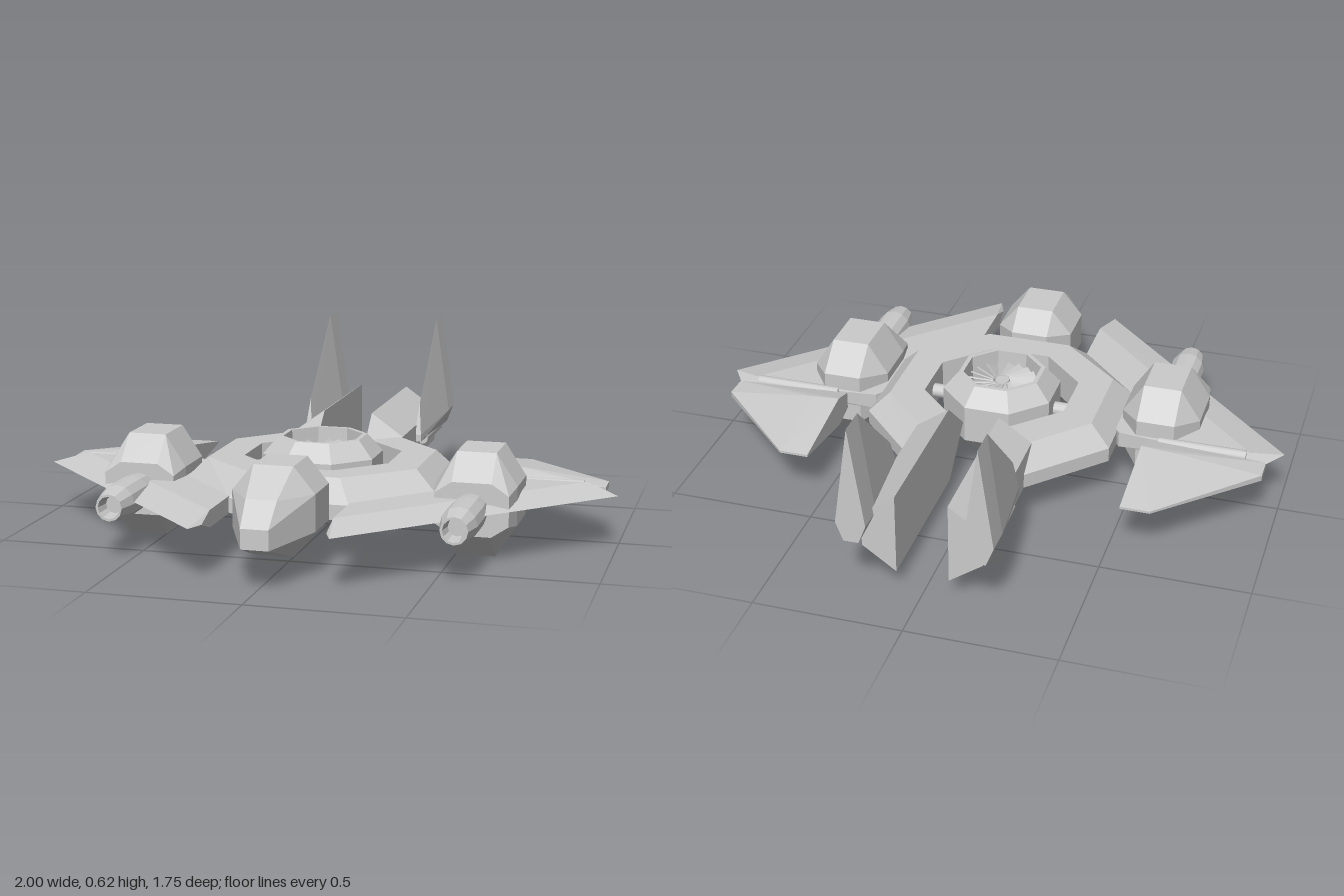
import * as THREE from 'three';
import { ConvexGeometry } from 'three/addons/geometries/ConvexGeometry.js';

const grey = new THREE.MeshStandardMaterial({ color: 0xcccccc, flatShading: true, side: THREE.DoubleSide });
const smooth = new THREE.MeshStandardMaterial({ color: 0xcccccc, side: THREE.DoubleSide });

function add(parent, name, geometry, material = grey) {
  const mesh = new THREE.Mesh(geometry, material);
  mesh.name = name;
  parent.add(mesh);
  return mesh;
}

// Faceted solid around corner points, mirrored in x when s = -1
function hull(points, s = 1) {
  return new ConvexGeometry(points.map(([x, y, z]) => new THREE.Vector3(x * s, y, z)));
}

// Both left and right of a point
const pair = (x, y, z) => [[x, y, z], [-x, y, z]];

// C-shaped octagonal deck, open at the back between the booms
function deckGeometry() {
  // each station: outer, top edge and inner corner as [x, z]
  const half = [
    [[0.09, -0.34], [0.09, -0.27], [0.09, -0.17]],
    [[0.2, -0.34], [0.17, -0.27], [0.1, -0.17]],
    [[0.43, -0.1], [0.36, -0.07], [0.25, -0.02]],
    [[0.43, 0.27], [0.36, 0.24], [0.25, 0.18]],
    [[0.2, 0.51], [0.15, 0.43], [0.1, 0.33]],
  ];
  const other = half.map(st => st.map(([x, z]) => [-x, z])).reverse();
  const loops = [...half, ...other].map(([o, t, i]) => [
    [o[0], 0.15, o[1]], [o[0], 0.2, o[1]], [t[0], 0.27, t[1]], [i[0], 0.27, i[1]], [i[0], 0.15, i[1]],
  ]);
  const pos = [];
  const n = 5;
  for (let k = 0; k < loops.length - 1; k++) {
    for (let j = 0; j < n; j++) {
      const a = loops[k][j], b = loops[k][(j + 1) % n];
      const c = loops[k + 1][(j + 1) % n], d = loops[k + 1][j];
      pos.push(...a, ...b, ...c, ...a, ...c, ...d);
    }
  }
  // end caps
  const first = loops[0], last = loops[loops.length - 1];
  for (let j = 1; j < n - 1; j++) {
    pos.push(...first[0], ...first[j + 1], ...first[j]);
    pos.push(...last[0], ...last[j], ...last[j + 1]);
  }
  const g = new THREE.BufferGeometry();
  g.setAttribute('position', new THREE.Float32BufferAttribute(pos, 3));
  g.computeVertexNormals();
  return g;
}

function lathe(profile, sides) {
  return new THREE.LatheGeometry(profile.map(([r, y]) => new THREE.Vector2(r, y)), sides);
}

// Fan pod in the middle of the deck
function buildFan(group) {
  const fan = new THREE.Group();
  fan.name = 'liftFan';
  fan.position.set(0, 0.21, 0.085);
  group.add(fan);
  const k = 1 / Math.cos(Math.PI / 8);
  const casing = lathe([
    [0.125 * k, -0.125], [0.14 * k, -0.125], [0.19 * k, -0.065], [0.19 * k, 0.065],
    [0.14 * k, 0.125], [0.125 * k, 0.125], [0.12 * k, 0], [0.125 * k, -0.125],
  ], 8);
  casing.rotateY(Math.PI / 8);
  add(fan, 'fanCasing', casing);
  add(fan, 'fanDisc', new THREE.CylinderGeometry(0.125, 0.125, 0.02, 24));
  for (const s of [1, -1]) {
    const hub = add(fan, 'fanHub', new THREE.CylinderGeometry(0.025, 0.045, 0.08, 12));
    hub.position.y = 0.045 * s;
    if (s < 0) hub.rotation.x = Math.PI;
    for (let i = 0; i < 20; i++) {
      const arm = new THREE.Group();
      arm.name = 'fanBladeArm';
      arm.rotation.y = i * Math.PI / 10;
      fan.add(arm);
      const blade = add(arm, 'fanBlade', new THREE.BoxGeometry(0.095, 0.005, 0.035));
      blade.position.set(0.075, 0.075 * s, 0);
      blade.rotation.x = 0.5;
    }
    const axle = add(fan, 'fanAxle', new THREE.CylinderGeometry(0.025, 0.025, 0.1, 12), smooth);
    axle.rotation.z = Math.PI / 2;
    axle.position.x = 0.22 * s;
  }
}

// Cockpit pod with faceted nose
function buildCockpit(group) {
  const points = [];
  for (const z of [0.51, 0.67]) {
    points.push(...pair(0.065, 0.355, z), ...pair(0.135, 0.27, z),
      ...pair(0.135, 0.15, z), ...pair(0.065, z > 0.6 ? 0.065 : 0.085, z));
  }
  points.push(...pair(0.065, 0.29, 0.43), ...pair(0.065, 0.14, 0.43));
  points.push(...pair(0.05, 0.275, 0.8));
  points.push(...pair(0.045, 0.2, 0.875), ...pair(0.045, 0.135, 0.875));
  add(group, 'cockpit', hull(points));
}

function buildSide(group, s) {
  const side = new THREE.Group();
  side.name = s > 0 ? 'leftSide' : 'rightSide';
  group.add(side);

  // main swept wing with a knife leading edge
  const wing = [[0.225, 0.178, 0.84], [0.2, 0.178, 0.78], [1, 0.178, 0.065], [0.95, 0.178, -0.01]];
  for (const y of [0.15, 0.206]) {
    wing.push([0.2, y, 0.7], [0.89, y, 0.0], [0.2, y, 0.32], [0.44, y, 0]);
  }
  add(side, 'wing', hull(wing, s));

  // rear flap, thickest near its hinge
  const flap = [];
  for (const d of [1, -1]) {
    flap.push([0.54, 0.178 + 0.052 * d, -0.1], [0.64, 0.178 + 0.045 * d, -0.1],
      [0.54, 0.178 + 0.03 * d, -0.02], [0.95, 0.178 + 0.008 * d, -0.015],
      [0.95, 0.178 + 0.01 * d, -0.1], [0.64, 0.178 + 0.004 * d, -0.405], [0.54, 0.178 + 0.004 * d, -0.405]);
  }
  add(side, 'flap', hull(flap, s));
  const hinge = add(side, 'flapHinge', new THREE.CylinderGeometry(0.02, 0.02, 0.3, 12), smooth);
  hinge.rotation.z = Math.PI / 2;
  hinge.position.set(0.73 * s, 0.19, 0);

  // engine nacelle: octagonal body, tapered ends
  const nacelle = [];
  for (const dx of [1, -1]) for (const dy of [1, -1]) {
    const p = (x, y, z) => nacelle.push([0.565 + x * dx, 0.173 + y * dy, z]);
    for (const z of [0.1, 0.27]) {
      p(0.065, 0.172, z);
      p(0.135, 0.065, z);
    }
    p(0.065, 0.088, 0);
    p(0.065, 0.088, 0.355);
    p(0.122, 0.05, 0.355);
  }
  add(side, 'nacelle', hull(nacelle, s));

  // hollow barrel ahead of the nacelle
  const barrel = lathe([
    [0.053, 0.33], [0.06, 0.42], [0.06, 0.56], [0.045, 0.635], [0.037, 0.635], [0.03, 0.58], [0, 0.58],
  ], 12);
  barrel.rotateX(Math.PI / 2);
  add(side, 'barrel', barrel).position.set(0.565 * s, 0.173, 0);

  // tail boom coming to a point at its inner front edge
  const boom = [[0.087, 0.21, -0.095]];
  for (const z of [-0.25, -0.8]) {
    boom.push([0.087, 0.35, z], [0.2, 0.27, z], [0.2, 0.15, z], [0.087, 0.07, z]);
  }
  add(side, 'tailBoom', hull(boom, s));

  // upright tail fin
  const fin = [[0.207, 0.62, -0.775], [0.207, 0.62, -0.875], [0.207, 0.345, -0.495]];
  for (const d of [1, -1]) {
    fin.push([0.207 + 0.05 * d, 0.275, -0.875], [0.207 + 0.05 * d, 0.27, -0.78],
      [0.207 + 0.012 * d, 0.235, -0.465], [0.207 + 0.012 * d, 0.21, -0.465], [0.207 + 0.025 * d, 0.21, -0.875]);
  }
  add(side, 'tailFin', hull(fin, s));
  const rod = add(side, 'finRod', new THREE.CylinderGeometry(0.022, 0.022, 0.26, 12), smooth);
  rod.rotation.x = Math.PI / 2;
  rod.position.set(0.207 * s, 0.208, -0.67);
}

export function createModel() {
  const group = new THREE.Group();
  group.name = 'spacecraft';
  add(group, 'deck', deckGeometry());
  buildFan(group);
  buildCockpit(group);
  for (const s of [1, -1]) buildSide(group, s);
  return group;
}
